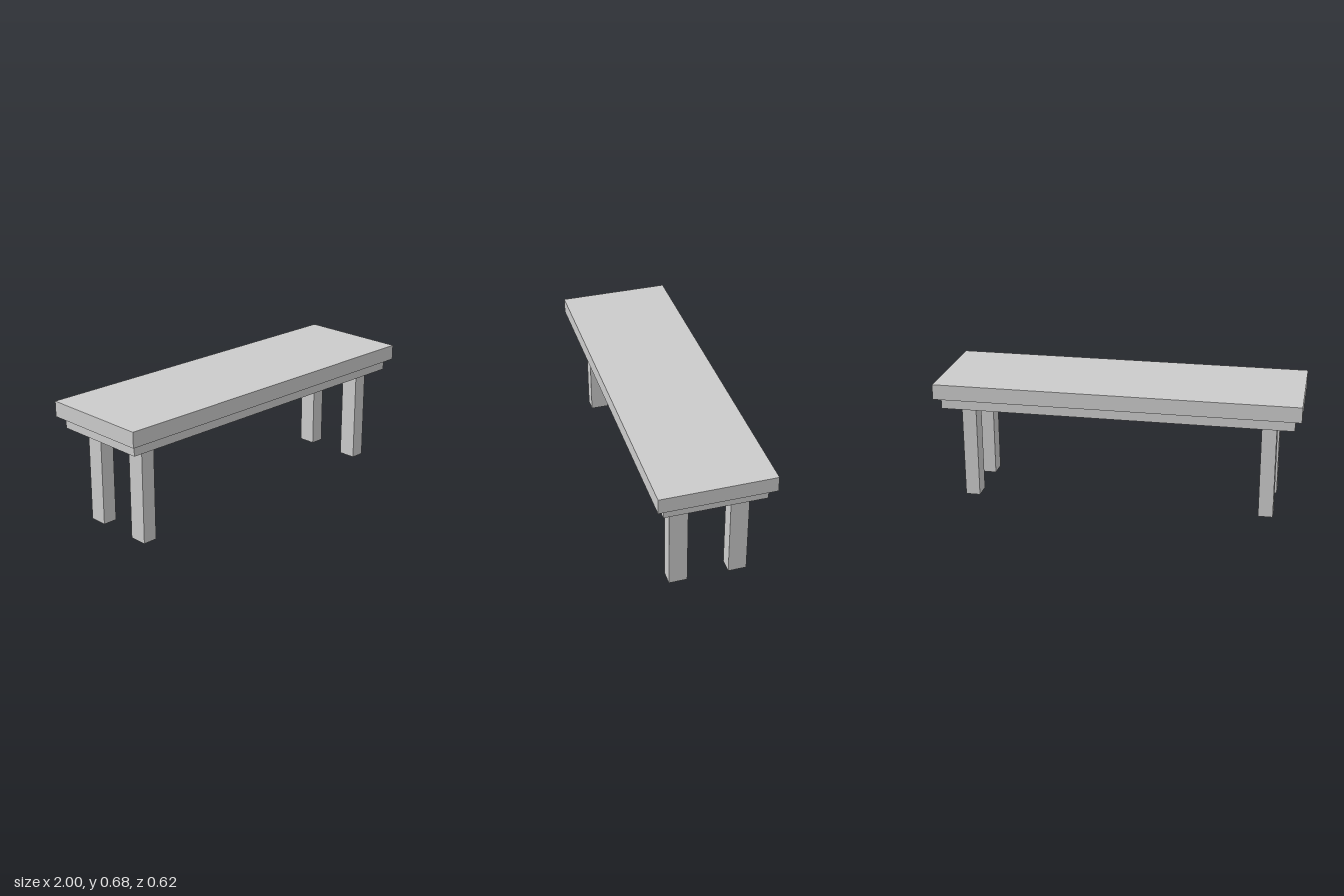
import * as THREE from 'three';

export function createModel() {
  const group = new THREE.Group();
  const material = new THREE.MeshStandardMaterial({ color: 0xcccccc, flatShading: true });

  // Box given by its size, its centre in x and z, and the height of its underside
  const addBox = (name, w, h, d, x, bottom, z) => {
    const mesh = new THREE.Mesh(new THREE.BoxGeometry(w, h, d), material);
    mesh.name = name;
    mesh.position.set(x, bottom + h / 2, z);
    group.add(mesh);
  };

  const seatBottom = 0.595;
  const apronBottom = 0.532;

  // Seat slab
  addBox('seat', 2, 0.085, 0.62, 0, seatBottom, 0);

  // Hollow apron frame under the seat
  const halfX = 0.965, halfZ = 0.273, rail = 0.073;
  const outline = new THREE.Shape([
    new THREE.Vector2(-halfX, -halfZ), new THREE.Vector2(halfX, -halfZ),
    new THREE.Vector2(halfX, halfZ), new THREE.Vector2(-halfX, halfZ),
  ]);
  const ix = halfX - rail, iz = halfZ - rail;
  outline.holes.push(new THREE.Path([
    new THREE.Vector2(-ix, -iz), new THREE.Vector2(-ix, iz),
    new THREE.Vector2(ix, iz), new THREE.Vector2(ix, -iz),
  ]));
  const apronGeometry = new THREE.ExtrudeGeometry(outline, {
    depth: seatBottom - apronBottom, bevelEnabled: false,
  });
  apronGeometry.rotateX(-Math.PI / 2);
  const apron = new THREE.Mesh(apronGeometry, material);
  apron.name = 'apron';
  apron.position.y = apronBottom;
  group.add(apron);

  // Four legs running up to the seat
  for (const sx of [1, -1]) {
    for (const sz of [1, -1]) {
      const name = (sz > 0 ? 'front' : 'back') + (sx > 0 ? 'Left' : 'Right') + 'Leg';
      addBox(name, 0.08, seatBottom, 0.1, sx * 0.828, 0, sz * 0.163);
    }
  }

  return group;
}
